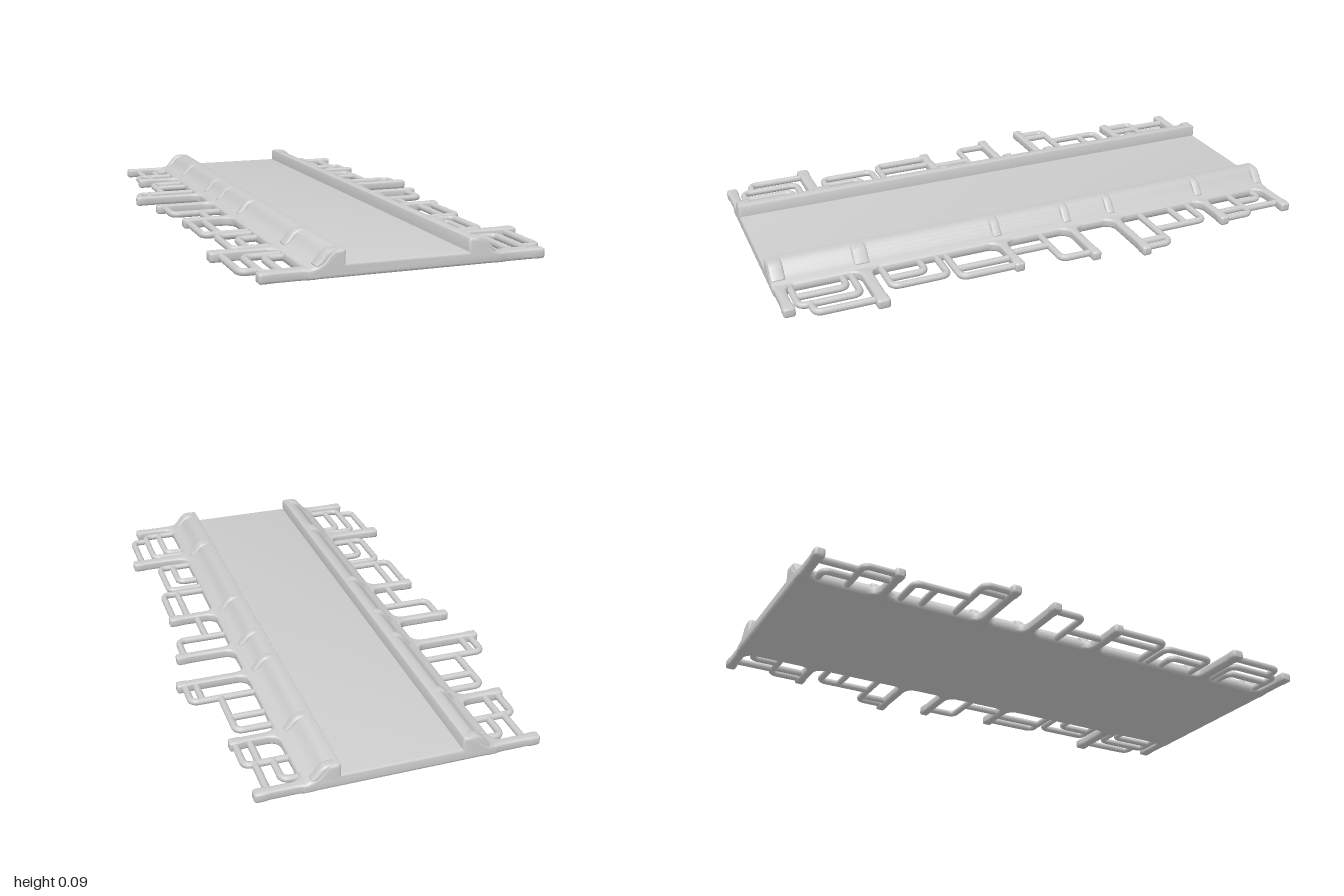
import * as THREE from 'three';
import { toCreasedNormals } from 'three/addons/utils/BufferGeometryUtils.js';

const material = new THREE.MeshStandardMaterial({ color: 0xcccccc });

// Curb outline from the deck's inner corner to the outer bottom edge
const CURB = [[0.21, 0.045], [0.21, 0.082], [0.213, 0.088], [0.22, 0.09], [0.245, 0.089], [0.258, 0.083],
  [0.268, 0.073], [0.278, 0.06], [0.29, 0.049], [0.305, 0.041], [0.325, 0.036], [0.333, 0.03], [0.336, 0.018], [0.333, 0.006], [0.328, 0]];

// Raised band that wraps the outside of a curb
const RIB = [[0.228, 0.08], [0.232, 0.09], [0.25, 0.091], [0.265, 0.088], [0.278, 0.079],
  [0.288, 0.067], [0.297, 0.055], [0.308, 0.044], [0.308, 0.035], [0.25, 0.035]];

// Arms: z position, reach in x, half width
const ARMS = [[-0.98, 0.495, 0.016], [-0.70, 0.5, 0.015], [-0.31, 0.59, 0.015], [-0.125, 0.55, 0.015],
  [0.16, 0.515, 0.016], [0.675, 0.56, 0.02], [0.978, 0.49, 0.018]];

// Rails: bent rods as [x, z] points
const RAILS = [
  [[0.445, -0.98], [0.445, -0.825]],
  [[0.32, -0.93], [0.385, -0.93], [0.385, -0.825]],
  [[0.32, -0.825], [0.48, -0.825], [0.48, -0.70]],
  [[0.43, -0.825], [0.43, -0.70]],
  [[0.32, -0.63], [0.455, -0.63], [0.455, -0.42]],
  [[0.32, -0.55], [0.455, -0.55]],
  [[0.32, -0.42], [0.56, -0.42], [0.56, -0.31]],
  [[0.52, -0.42], [0.52, -0.31]],
  [[0.515, -0.125], [0.515, 0], [0.32, 0]],
  [[0.405, 0], [0.405, 0.16]],
  [[0.495, 0.16], [0.495, 0.375], [0.32, 0.375]],
  [[0.437, 0.16], [0.437, 0.375]],
  [[0.32, 0.41], [0.46, 0.41], [0.46, 0.615], [0.32, 0.615]],
  [[0.32, 0.475], [0.405, 0.475], [0.405, 0.615]],
  [[0.52, 0.675], [0.52, 0.9], [0.455, 0.9]],
  [[0.32, 0.725], [0.46, 0.725], [0.46, 0.94], [0.32, 0.94]],
  [[0.32, 0.757], [0.4, 0.757], [0.4, 0.94]],
];

const toShape = (pts) => new THREE.Shape(pts.map(([x, y]) => new THREE.Vector2(x, y)));

// Extrusion whose rounded edges stay inside the outline; length includes the bevels
function extrude(shape, length, bevel) {
  const geometry = new THREE.ExtrudeGeometry(shape, {
    depth: length - 2 * bevel, bevelEnabled: true, bevelThickness: bevel,
    bevelSize: bevel, bevelOffset: -bevel, bevelSegments: 3, curveSegments: 6,
  });
  geometry.translate(0, 0, bevel);
  return toCreasedNormals(geometry, 0.7);
}

function add(parent, name, geometry) {
  const mesh = new THREE.Mesh(geometry, material);
  mesh.name = name;
  parent.add(mesh);
  return mesh;
}

// Deck and both curbs as one section
function deckGeometry() {
  const right = CURB.map(([x, y]) => [-x, y]).reverse();
  return extrude(toShape([...right, ...CURB]), 2, 0.01).translate(0, 0, -1);
}

// Flat arm with a filleted root and rounded, slightly wider tip
function armGeometry([z, reach, w], side) {
  const clampZ = (v) => Math.max(-1, Math.min(1, z + v));
  const p = (x, v) => [side * x, -clampZ(v)];
  const shape = new THREE.Shape();
  const root = w + 0.035, tip = w + 0.003;
  shape.moveTo(...p(0.3, -root));
  shape.lineTo(...p(0.334, -root));
  shape.quadraticCurveTo(...p(0.338, -w), ...p(0.375, -w));
  shape.lineTo(...p(reach - 0.05, -w));
  shape.lineTo(...p(reach - 0.035, -tip));
  shape.lineTo(...p(reach - 0.01, -tip));
  shape.quadraticCurveTo(...p(reach, -tip), ...p(reach, -tip + 0.01));
  shape.lineTo(...p(reach, tip - 0.01));
  shape.quadraticCurveTo(...p(reach, tip), ...p(reach - 0.01, tip));
  shape.lineTo(...p(reach - 0.035, tip));
  shape.lineTo(...p(reach - 0.05, w));
  shape.lineTo(...p(0.375, w));
  shape.quadraticCurveTo(...p(0.338, w), ...p(0.334, root));
  shape.lineTo(...p(0.3, root));
  return extrude(shape, 0.035, 0.008).rotateX(-Math.PI / 2);
}

// Round rod along a path with softened corners
function railGeometry(points, side) {
  const pts = points.map(([x, z]) => new THREE.Vector3(side * x, 0.018, z));
  const path = new THREE.CurvePath();
  let from = pts[0];
  for (let i = 1; i < pts.length - 1; i++) {
    const corner = pts[i];
    const toward = (q) => corner.clone().add(q.clone().sub(corner).setLength(0.028));
    const a = toward(pts[i - 1]), b = toward(pts[i + 1]);
    path.add(new THREE.LineCurve3(from, a));
    path.add(new THREE.QuadraticBezierCurve3(a, corner, b));
    from = b;
  }
  path.add(new THREE.LineCurve3(from, pts[pts.length - 1]));
  return new THREE.TubeGeometry(path, pts.length > 2 ? 48 : 2, 0.0125, 10);
}

export function createModel() {
  const model = new THREE.Group();
  model.name = 'walkway';
  add(model, 'deck', deckGeometry());

  for (const side of [1, -1]) {
    const group = new THREE.Group();
    group.name = side > 0 ? 'leftEdge' : 'rightEdge';
    model.add(group);

    for (const arm of ARMS) {
      const [z, , w] = arm;
      add(group, 'arm', armGeometry(arm, side));
      // Band on the curb, in line with its arm
      const width = 2 * w + (z > 0.5 ? 0.016 : 0.004);
      const rib = extrude(toShape(RIB.map(([x, y]) => [side * x, y])), width, 0.008);
      const start = Math.max(-0.998, Math.min(0.998 - width, z - width / 2));
      add(group, 'curbRib', rib).position.z = start;
    }
    for (const rail of RAILS) add(group, 'rail', railGeometry(rail, side));
  }
  return model;
}
